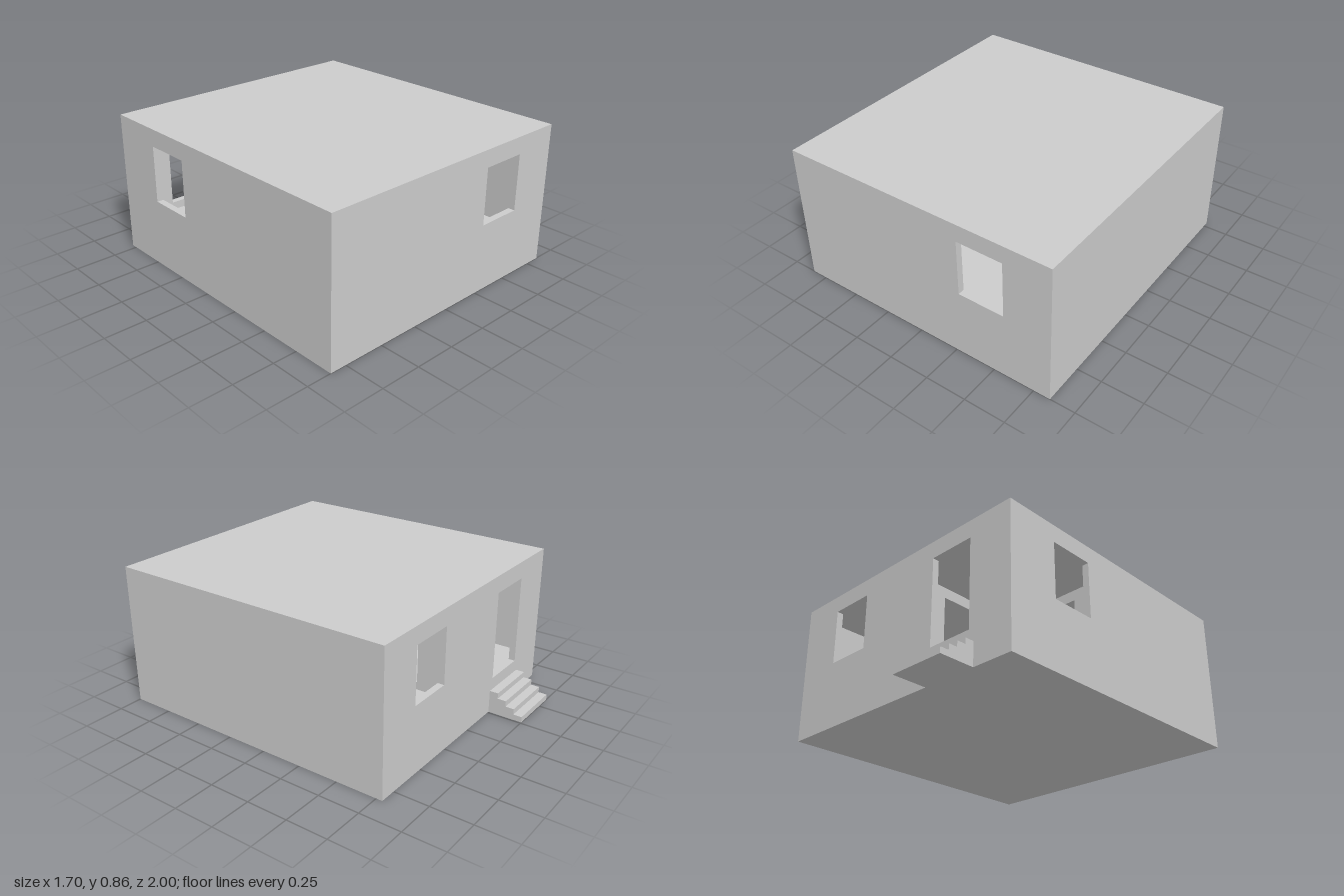
import * as THREE from 'three';

const W = 0.85, BACK = -0.787, FRONT = 1, H = 0.855; // outer shell
const T = 0.04;                                       // wall thickness
const FLOOR = 0.167, CEILING = 0.815;
const SILL = 0.41, DOOR_SILL = 0.215, HEAD = 0.75;
const material = new THREE.MeshStandardMaterial({ color: 0xcccccc, flatShading: true });

function add(group, name, geometry) {
  const mesh = new THREE.Mesh(geometry, material);
  mesh.name = name;
  group.add(mesh);
  return mesh;
}

// Wall panel spanning u0..u1 and y0..y1, with rectangular openings [u0, u1, y0, y1]
function panel(u0, u1, y0, y1, openings) {
  const rect = (path, a, b, c, d) =>
    path.moveTo(a, c).lineTo(b, c).lineTo(b, d).lineTo(a, d).closePath();
  const shape = rect(new THREE.Shape(), u0, u1, y0, y1);
  for (const o of openings) shape.holes.push(rect(new THREE.Path(), ...o));
  return new THREE.ExtrudeGeometry(shape, { depth: T, bevelEnabled: false });
}

// Wall running along x, its rear face at z
function wallX(group, name, z, u0, u1, y0, y1, openings = []) {
  add(group, name, panel(u0, u1, y0, y1, openings).translate(0, 0, z));
}

// Wall running along z, its -x face at x
function wallZ(group, name, x, z0, z1, y0, y1, openings = []) {
  const flipped = openings.map(([a, b, c, d]) => [-b, -a, c, d]);
  add(group, name, panel(-z1, -z0, y0, y1, flipped).rotateY(Math.PI / 2).translate(x, 0, 0));
}

function slab(group, name, y0, y1) {
  const depth = FRONT - BACK - 2 * T;
  const g = new THREE.BoxGeometry(2 * (W - T), y1 - y0, depth);
  add(group, name, g.translate(0, (y0 + y1) / 2, (FRONT + BACK) / 2));
}

export function createModel() {
  const house = new THREE.Group();
  house.name = 'house';

  // Outer walls
  const window = [0.283, 0.565, SILL, HEAD];
  const door = [-0.567, -0.283, DOOR_SILL, HEAD];
  const sideSpan = [-0.457, -0.175];
  wallX(house, 'frontWall', FRONT - T, -W, W, 0, H, [window]);
  wallX(house, 'backWall', BACK, -W, W, 0, H, [window, door]);
  wallZ(house, 'leftWall', W - T, BACK + T, FRONT - T, 0, H);
  wallZ(house, 'rightWall', -W, BACK + T, FRONT - T, 0, H, [[...sideSpan, SILL, HEAD]]);

  // Floor base and roof, set between the walls
  slab(house, 'floorBase', 0, FLOOR);
  slab(house, 'roof', CEILING, H);

  // Inner partitions: a cross wall, and one dividing the two back rooms
  const mid = (FRONT + BACK) / 2 - T / 2;
  wallX(house, 'crossPartition', mid, -W + T, W - T, FLOOR, CEILING,
    [[-0.54, -0.256, DOOR_SILL, HEAD]]);
  wallZ(house, 'backPartition', -T / 2, BACK + T, mid, FLOOR, CEILING,
    [[...sideSpan, DOOR_SILL, HEAD]]);

  // Entrance steps: stair profile drawn outward from the back wall
  const count = 4, tread = (1 + BACK) / count, rise = 0.14 / count;
  const profile = new THREE.Shape().moveTo(0, 0);
  profile.lineTo(count * tread, 0);
  for (let i = 0; i < count; i++) {
    profile.lineTo((count - i) * tread, (i + 1) * rise);
    profile.lineTo((count - i - 1) * tread, (i + 1) * rise);
  }
  profile.closePath();
  const steps = new THREE.ExtrudeGeometry(profile, { depth: 0.34, bevelEnabled: false });
  add(house, 'entranceSteps', steps.rotateY(Math.PI / 2).translate(-0.6, 0, BACK));

  return house;
}
